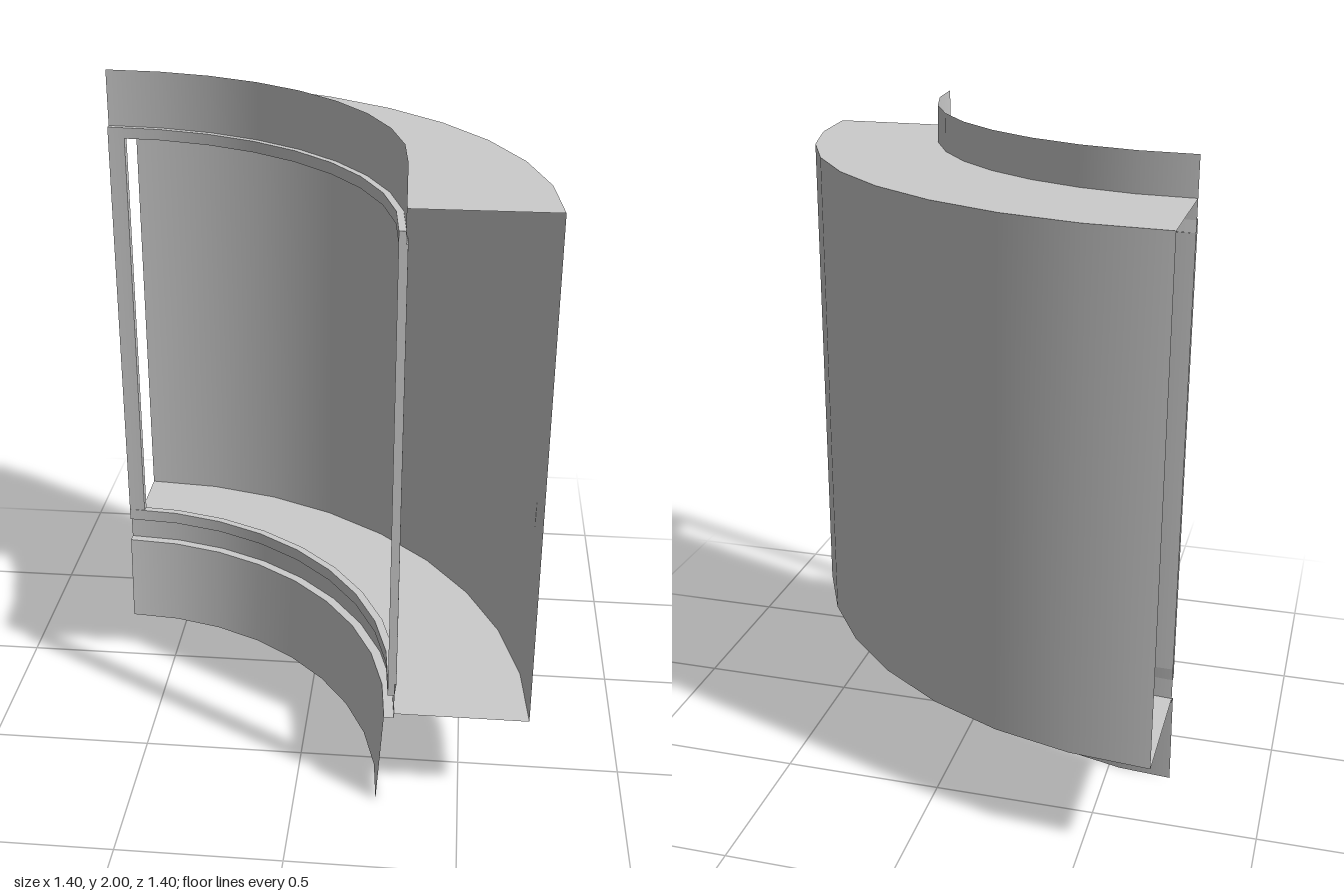
import * as THREE from 'three';

const material = new THREE.MeshStandardMaterial({ color: 0xcccccc, side: THREE.DoubleSide });
const STEPS = 9; // ten degrees per facet over the quarter turn
const QUARTER = Math.PI / 2;

// One curved band per profile span, so bands are smooth around and sharp between
function addBands(parent, name, profile, start = QUARTER, sweep = QUARTER, steps = STEPS) {
  const part = new THREE.Group();
  part.name = name;
  for (let i = 0; i < profile.length - 1; i++) {
    const span = [profile[i], profile[i + 1]].map(([r, y]) => new THREE.Vector2(r, y));
    const band = new THREE.Mesh(new THREE.LatheGeometry(span, steps, start, sweep), material);
    band.name = name + 'Band';
    part.add(band);
  }
  parent.add(part);
  return part;
}

// Flat radial panel closing a curved part at one angle
function addRadialPanel(parent, name, angle, r0, r1, y0, y1) {
  const geometry = new THREE.PlaneGeometry(r1 - r0, y1 - y0);
  geometry.translate((r0 + r1) / 2, (y0 + y1) / 2, 0);
  geometry.rotateY(angle - QUARTER);
  const panel = new THREE.Mesh(geometry, material);
  panel.name = name;
  parent.add(panel);
}

export function createModel() {
  const model = new THREE.Group();
  model.name = 'curvedCornerCase';

  // All parts share the centre of curvature at one corner of the footprint
  const arc = new THREE.Group();
  arc.name = 'quarterArc';
  arc.position.set(-0.7, 0, 0.7);
  model.add(arc);

  // Open-ended casing: underside, outer wall and top
  addBands(arc, 'casing', [[1, 0.32], [1.4, 0.32], [1.4, 1.88], [1, 1.88]]);

  // Inner walls above and below the window
  addBands(arc, 'upperWall', [[1, 1.82], [1, 2]]);
  addBands(arc, 'lowerWall', [[1, 0.305], [1, 0.385]]);

  // Tapered plinth with the ledge under the lower wall
  addBands(arc, 'plinth', [[0.95, 0], [0.97, 0.305], [1, 0.305]]);

  // Window frame: two curved rails and two end posts
  const frame = new THREE.Group();
  frame.name = 'windowFrame';
  arc.add(frame);
  const front = 0.98, back = 1.005, low = 0.425, high = 1.785;
  addBands(frame, 'topRail', [[back, high], [front, high], [front, 1.82], [1, 1.82], [back, high]]);
  addBands(frame, 'bottomRail', [[back, low], [front, low], [front, 0.385], [1, 0.385], [back, low]]);

  const postSweep = 0.055;
  for (const start of [QUARTER, Math.PI - postSweep]) {
    addBands(frame, 'postFront', [[front, low], [front, high]], start, postSweep, 1);
    addBands(frame, 'postBack', [[back, low], [back, high]], start, postSweep, 1);
    for (const angle of [start, start + postSweep]) {
      addRadialPanel(frame, 'postSide', angle, front, back, low, high);
    }
  }
  // End caps of the rails
  for (const angle of [QUARTER, Math.PI]) {
    addRadialPanel(frame, 'topRailEnd', angle, front, 1, high, 1.82);
    addRadialPanel(frame, 'bottomRailEnd', angle, front, 1, 0.385, low);
  }
  return model;
}
